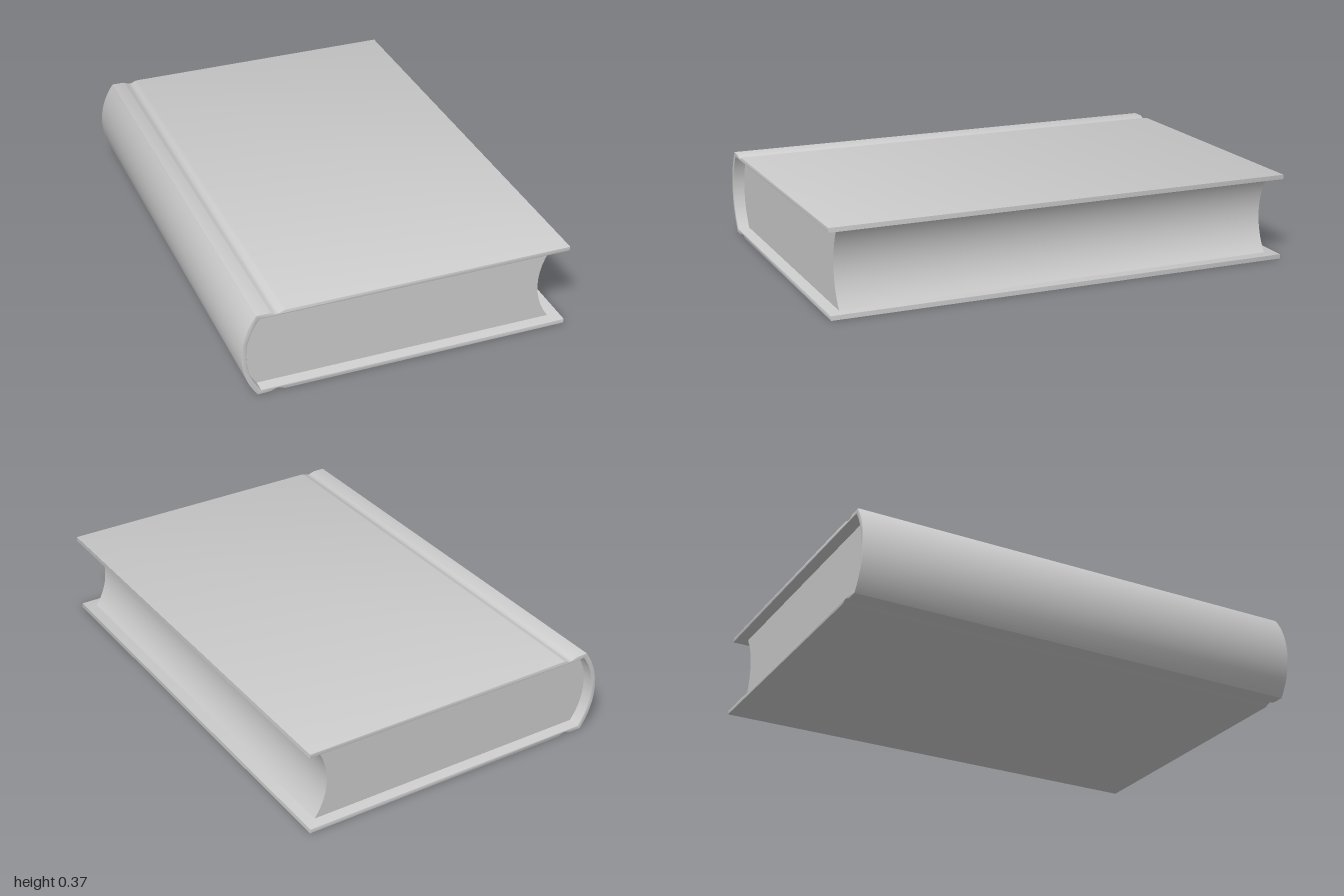
import * as THREE from 'three';
import { toCreasedNormals } from 'three/addons/utils/BufferGeometryUtils.js';

const H = 0.367;      // overall thickness
const T = 0.019;      // cover board thickness
const RIGHT = 0.687;  // free edge of the boards

// Points of a circular arc, bulging to -x by `bulge`, from yA to yB at x.
function arc(x, bulge, yA, yB, n = 24) {
  const half = Math.abs(yB - yA) / 2;
  const r = (half * half + bulge * bulge) / (2 * bulge);
  const a = Math.asin(half / r);
  const dir = Math.sign(yB - yA);
  return Array.from({ length: n + 1 }, (_, i) => {
    const t = -a + (2 * a * i) / n;
    return new THREE.Vector2(x - bulge + r - r * Math.cos(t), (yA + yB) / 2 + dir * r * Math.sin(t));
  });
}

// Shallow hinge groove along a board, from xA to xB at y.
function groove(xA, xB, y, depth, n = 10) {
  return Array.from({ length: n + 1 }, (_, i) => new THREE.Vector2(
    xA + ((xB - xA) * i) / n,
    y + depth * (0.5 - 0.5 * Math.cos((2 * Math.PI * i) / n))
  ));
}

// Extrude a profile along z, centred, with finely softened edges.
function extrude(name, points, length, bevel) {
  const geo = new THREE.ExtrudeGeometry(new THREE.Shape(points), {
    depth: length - 2 * bevel,
    bevelEnabled: bevel > 0,
    bevelThickness: bevel,
    bevelSize: bevel,
    bevelOffset: -bevel,
    bevelSegments: 2,
  });
  geo.translate(0, 0, -length / 2 + bevel);
  const mesh = new THREE.Mesh(
    toCreasedNormals(geo, 0.7),
    new THREE.MeshStandardMaterial({ color: 0xcccccc })
  );
  mesh.name = name;
  return mesh;
}

export function createModel() {
  const book = new THREE.Group();
  book.name = 'book';
  const v = (x, y) => new THREE.Vector2(x, y);

  // Hard cover: two boards joined by a rounded spine
  const cover = [
    v(RIGHT, H),
    ...groove(-0.51, -0.58, H, -0.01),
    ...arc(-0.628, 0.062, H, 0),
    ...groove(-0.58, -0.51, 0, 0.01),
    v(RIGHT, 0),
    v(RIGHT, T),
    ...arc(-0.614, 0.056, T, H - T),
    v(RIGHT, H - T),
  ];
  book.add(extrude('cover', cover, 2, 0.003));

  // Page block: rounded at the spine, hollow at the fore edge
  const pages = [
    ...arc(-0.614, 0.056, H - T, T),
    ...arc(0.637, 0.055, T, H - T),
  ];
  book.add(extrude('pages', pages, 1.9, 0));

  return book;
}
